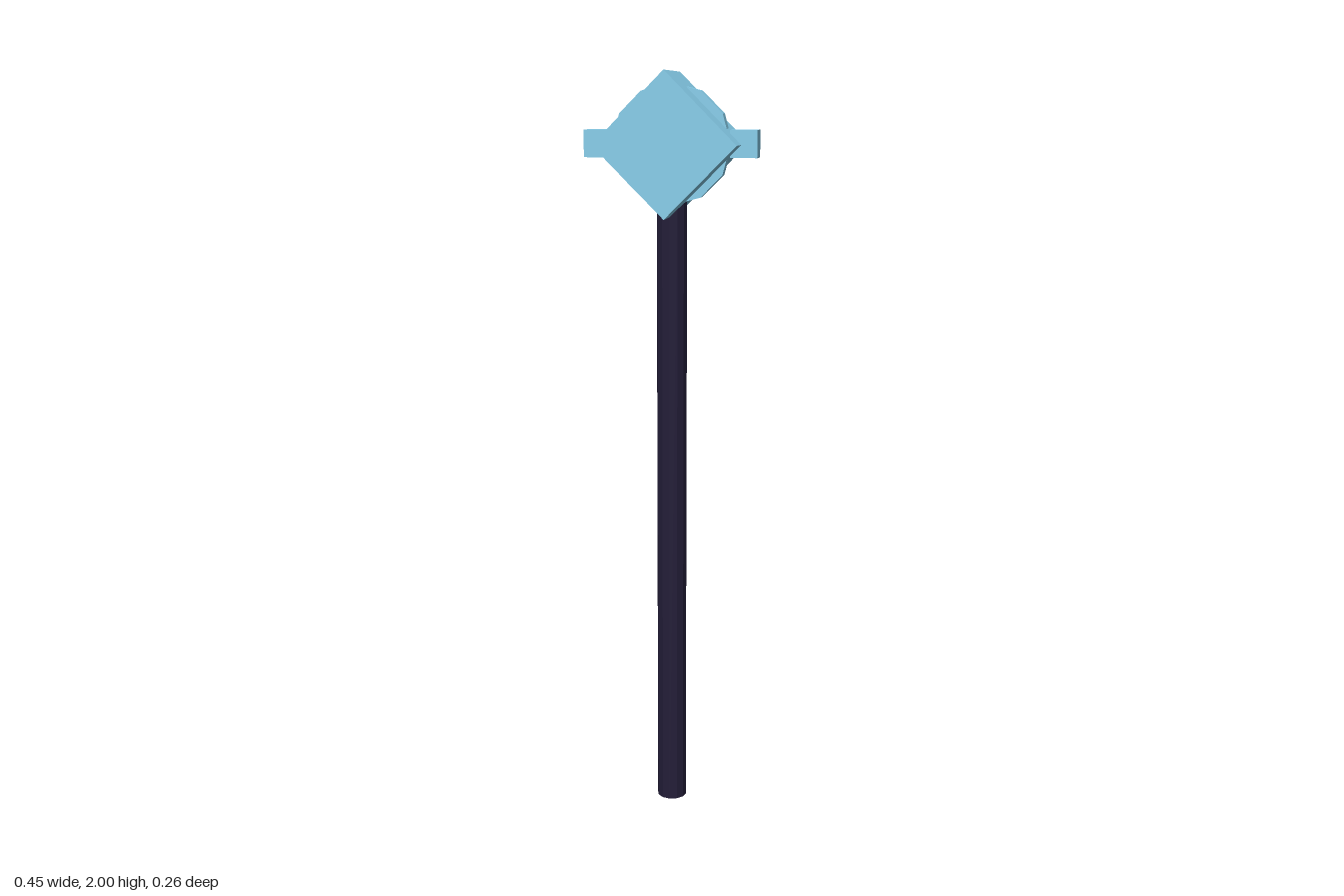
import * as THREE from 'three';

export function createModel() {
  const model = new THREE.Group();
  const blue = new THREE.MeshStandardMaterial({ color: 0x87ceeb, flatShading: true });
  const dark = new THREE.MeshStandardMaterial({ color: 0x231d38, flatShading: true });
  const headY = 1.816;

  function add(name, geometry, material, x, y) {
    const mesh = new THREE.Mesh(geometry, material);
    mesh.name = name;
    mesh.position.set(x, y, 0);
    model.add(mesh);
    return mesh;
  }

  // Long faceted shaft, ending inside the head
  const shaftHeight = 1.72;
  add('shaft', new THREE.CylinderGeometry(0.04, 0.04, shaftHeight, 12), dark, 0, shaftHeight / 2);

  // Cube head standing on one edge
  const head = add('head', new THREE.BoxGeometry(0.26, 0.26, 0.262), blue, 0, headY);
  head.rotation.z = Math.PI / 4;

  // Twelve-sided band emerging through the four slanted faces
  const bandGeometry = new THREE.CylinderGeometry(0.155, 0.155, 0.042, 12);
  bandGeometry.rotateX(Math.PI / 2);
  add('band', bandGeometry, blue, 0, headY);

  // Small cubes on both side corners
  for (const side of [-1, 1]) {
    add(side > 0 ? 'leftStud' : 'rightStud', new THREE.BoxGeometry(0.07, 0.07, 0.07), blue, side * 0.19, headY + 0.002);
  }
  return model;
}
